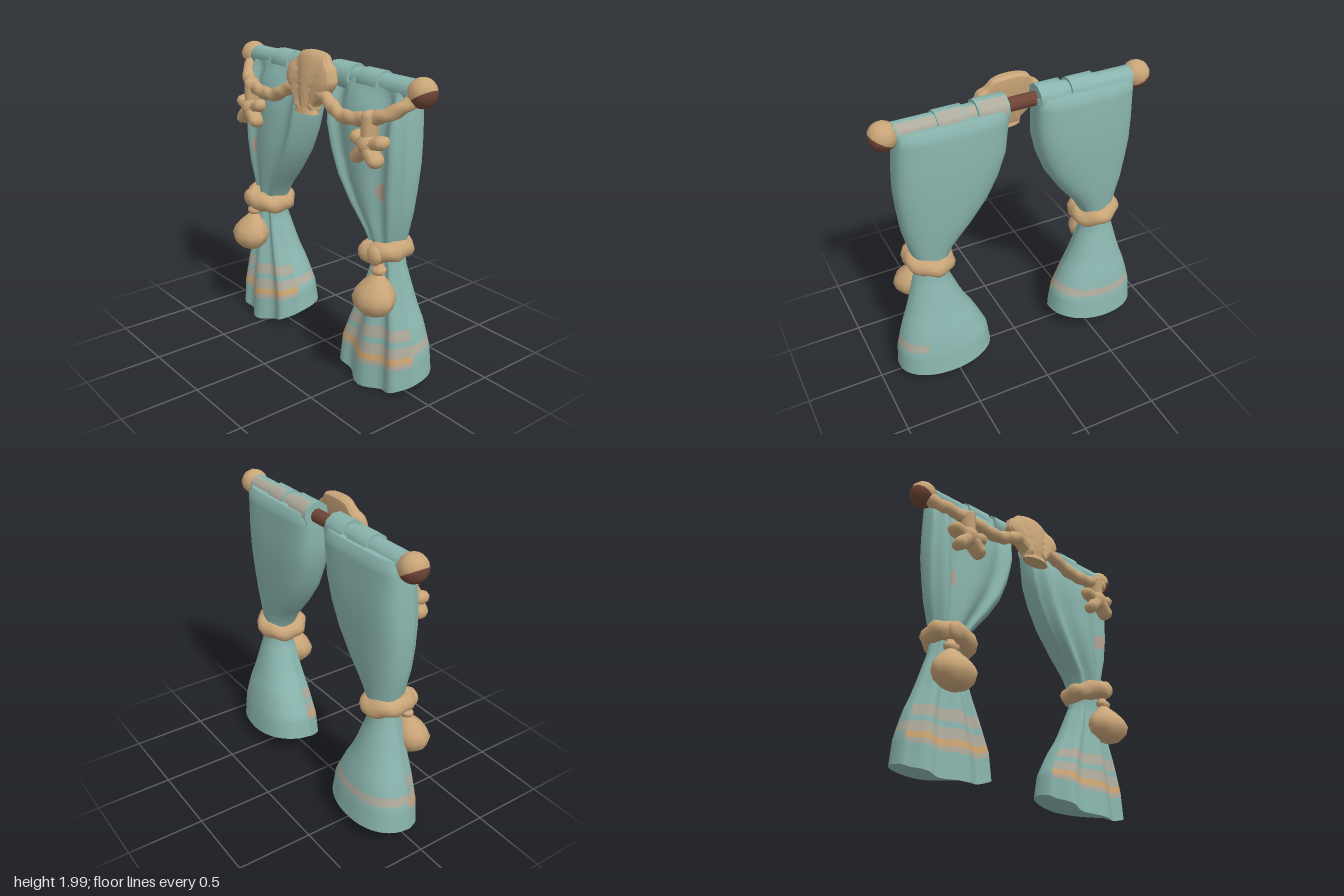
import * as THREE from 'three';
import { toCreasedNormals } from 'three/addons/utils/BufferGeometryUtils.js';

const mat = (name, color) => Object.assign(new THREE.MeshStandardMaterial({ color }), { name });
const TAU = Math.PI * 2;

// Skin closed rings of [x, y, z]; pick(row, column) chooses the material of a face
function loft(rings, { caps = true, pick = () => 0, crease = 0.9 } = {}) {
  const n = rings[0].length, pos = rings.flat(2), lists = [[], [], []];
  for (let r = 0; r < rings.length - 1; r++) for (let i = 0; i < n; i++) {
    const a = r * n + i, b = r * n + (i + 1) % n;
    lists[pick(r, i)].push(a, b, a + n, b, b + n, a + n);
  }
  if (caps) [0, rings.length - 1].forEach((r, end) => {
    const c = pos.length / 3;
    for (let k = 0; k < 3; k++) pos.push(rings[r].reduce((s, p) => s + p[k], 0) / n);
    for (let i = 0; i < n; i++) {
      const a = r * n + i, b = r * n + (i + 1) % n;
      lists[0].push(...(end ? [a, b, c] : [b, a, c]));
    }
  });
  // Turn the faces outward if the enclosed volume is negative
  const v = (i) => new THREE.Vector3().fromArray(pos, i * 3);
  let volume = 0;
  for (const l of lists) for (let i = 0; i < l.length; i += 3) volume += v(l[i]).dot(v(l[i + 1]).cross(v(l[i + 2])));
  if (volume < 0) lists.forEach((l) => l.reverse());
  const g = new THREE.BufferGeometry();
  g.setAttribute('position', new THREE.Float32BufferAttribute(pos, 3));
  g.setIndex(lists.flat());
  let start = 0;
  lists.forEach((l, m) => { if (l.length) g.addGroup(start, l.length, m); start += l.length; });
  return toCreasedNormals(g, crease);
}

// Twisted rope along a curve
function rope(curve, radius, steps, twists, closed) {
  const f = curve.computeFrenetFrames(steps, closed), rings = [];
  for (let i = 0; i <= steps; i++) {
    const c = curve.getPointAt(i / steps), ring = [];
    for (let j = 0; j < 12; j++) {
      const a = j / 12 * TAU, r = radius * (1 + 0.1 * Math.cos(2 * a - i / steps * twists * TAU));
      ring.push(c.clone().addScaledVector(f.normals[i], r * Math.cos(a)).addScaledVector(f.binormals[i], r * Math.sin(a)).toArray());
    }
    rings.push(ring);
  }
  return loft(rings, { caps: !closed });
}

// Curtain sections: y, inner x, outer x, back z, front z, squareness
const SECTIONS = [
  [1.88, 0.08, 0.75, -0.13, 0.035, 0.5], [1.84, 0.08, 0.76, -0.155, 0.055, 0.5], [1.75, 0.08, 0.77, -0.16, 0.105, 0.55],
  [1.6, 0.09, 0.78, -0.165, 0.135, 0.6], [1.45, 0.135, 0.785, -0.16, 0.14, 0.65],
  [1.3, 0.205, 0.775, -0.15, 0.14, 0.7], [1.15, 0.31, 0.76, -0.138, 0.13, 0.8],
  [1.0, 0.44, 0.725, -0.12, 0.108, 0.9], [0.9, 0.49, 0.70, -0.11, 0.085, 1],
  [0.8, 0.495, 0.715, -0.115, 0.085, 1], [0.6, 0.415, 0.77, -0.17, 0.115, 0.95],
  [0.4, 0.325, 0.83, -0.22, 0.145, 0.9], [0.2, 0.255, 0.87, -0.25, 0.168, 0.85],
  [0.01, 0.235, 0.88, -0.265, 0.18, 0.85],
];
// Point on a curtain at height y and angle a (a quarter turn is the front)
function cloth(side, y, a) {
  let k = 0;
  while (k < SECTIONS.length - 2 && SECTIONS[k + 1][0] > y) k++;
  const p = SECTIONS[k], q = SECTIONS[k + 1], t = (p[0] - y) / (p[0] - q[0]);
  const [, x0, xo, zb, zf, e] = p.map((v, i) => v + (q[i] - v) * t);
  const xi = x0 + (side < 0 ? 0.03 * Math.min(1, Math.abs(y - 1) / 0.6) : 0);
  const c = Math.cos(a), s = Math.sin(a), pw = (v) => Math.sign(v) * Math.abs(v) ** e;
  const amp = y > 1.8 ? 0.01 : 0.014 + 0.016 * Math.min(1, Math.abs(y - 0.88) / 0.5);
  const x = (xi + xo) / 2 + (xo - xi) / 2 * pw(c);
  const z = (zb + zf) / 2 + (zf - zb) / 2 * pw(s) + amp * Math.max(0, s) * (Math.cos(8 * a) - 1) * 0.9;
  const lift = 0.055 * (1 - s) + 0.03 * c * c + 0.04 * Math.max(0, -c);
  return [side * x, y + lift * Math.max(0, 1 - y / 0.55), z];
}

export function createModel() {
  const teal = mat('tealCloth', 0x8ab5ae), beige = mat('fadedBeige', 0xb0ac9e), orange = mat('orangeTrim', 0xd0a874);
  const rose = mat('rosePatch', 0xb5a294), tan = mat('sandTan', 0xc9a578), brown = mat('darkWood', 0x6f4536);
  rose.side = THREE.DoubleSide;
  const group = new THREE.Group();
  group.name = 'curtains';
  const add = (name, geo, material, x = 0, y = 0, z = 0) => {
    const m = new THREE.Mesh(geo, material);
    m.name = name;
    m.position.set(x, y, z);
    group.add(m);
  };
  const RY = 1.862, RZ = -0.03;

  add('rod', new THREE.CylinderGeometry(0.045, 0.045, 1.6, 10).rotateZ(Math.PI / 2), brown, 0, RY, RZ);

  for (const s of [1, -1]) {
    const label = s > 0 ? 'left' : 'right';

    // Curtain with hem bands; the middle band wraps further round
    const N = 64, ys = [1.88, 1.84, 1.8, 1.75, 1.67, 1.6, 1.52, 1.45, 1.37, 1.3, 1.22, 1.15, 1.07, 1, 0.95, 0.9, 0.85, 0.8,
      0.74, 0.67, 0.6, 0.53, 0.47, 0.425, 0.35, 0.31, 0.24, 0.198, 0.165, 0.08, 0.01];
    const rings = ys.map((y) => Array.from({ length: N }, (_, i) => cloth(s, y, i / N * TAU)));
    const pick = (r, i) => {
      const y = (ys[r] + ys[r + 1]) / 2, a = (i + 0.5) / N * TAU, front = Math.sin(a) > 0.15;
      if (y > 0.24 && y < 0.31) return front || s < 0 || a < 0.2 || a > 5.2 ? 1 : 0;
      if (!front) return 0;
      if (y > 0.198 && y < 0.24) return 2;
      return (y > 0.35 && y < 0.425) || (y > 0.165 && y < 0.198) ? 1 : 0;
    };
    add(label + 'Curtain', loft(rings, { pick }), [teal, beige, orange]);

    // Faded round patch lying on the cloth
    const a0 = s > 0 ? 1.09 : 1.12, da = s > 0 ? 0.22 : 0.11;
    const patch = new THREE.RingGeometry(0.001, 1, 24, 5), pp = patch.attributes.position;
    for (let i = 0; i < pp.count; i++) {
      const [x, y, z] = cloth(s, 1.275 + pp.getY(i) * 0.055, a0 - s * pp.getX(i) * da);
      pp.setXYZ(i, x, y, z + 0.008);
    }
    patch.computeVertexNormals();
    add(label + 'Patch', patch, rose);

    // Rod pocket and its raised tabs
    const tabs = s > 0 ? [[0.09, 0.76, 0.068], [0.08, 0.275, 0.087], [0.35, 0.52, 0.08]]
      : [[0.13, 0.76, 0.068], [0.12, 0.28, 0.09], [0.33, 0.5, 0.084]];
    for (const [x0, x1, r] of tabs) {
      const pocket = new THREE.CylinderGeometry(r, r, x1 - x0, 10).rotateZ(Math.PI / 2);
      add(label + 'RodPocket', toCreasedNormals(pocket, 0.7), teal, s * (x0 + x1) / 2, RY, RZ);
      if (s > 0) {
        const fade = new THREE.CylinderGeometry(r + 0.003, r + 0.003, x1 - x0 - 0.02, 2, 1, true, TAU * 0.3, TAU * 0.2);
        add('pocketFade', fade.rotateZ(Math.PI / 2), beige, (x0 + x1) / 2, RY, RZ);
      }
    }

    // Ball finial, sandy above and dark below
    for (const [m, t0, t1] of [[tan, 0, 0.58], [brown, 0.58, 0.42]]) {
      const ball = new THREE.SphereGeometry(0.087, 12, 6, 0, TAU, t0 * Math.PI, t1 * Math.PI).rotateZ(s * 0.55);
      add(label + 'Finial', ball, m, s * 0.818, RY, RZ);
    }

    // Rope swag
    const swag = [[0.79, 1.82, 0.01], [0.72, 1.755, 0.085], [0.6, 1.705, 0.135], [0.45, 1.68, 0.15], [0.33, 1.682, 0.15],
      [0.19, 1.745, 0.135], [0.08, 1.78, 0.12]].map(([x, y, z]) => new THREE.Vector3(s * x, y, z));
    add(label + 'Swag', rope(new THREE.CatmullRomCurve3(swag), 0.041, 48, 7, false), tan);

    // Plump starfish hanging from the swag
    for (const [dx, dy, len, z] of [[0, 1, 0.2, 0.145], [1, 0.3, 0.145, 0.145], [-1, 0.3, 0.145, 0.145],
      [0.72, -0.75, 0.15, 0.165], [-0.72, -0.75, 0.15, 0.165]]) {
      const arm = new THREE.CapsuleGeometry(0.042, len - 0.084, 3, 8).scale(1, 1, 1.4);
      arm.translate(0, len / 2, 0).rotateZ(Math.atan2(-dx, dy));
      add(label + 'StarfishArm', arm, tan, s * 0.59, 1.555, z);
    }
    add(label + 'StarfishHeart', new THREE.SphereGeometry(0.07, 10, 8), tan, s * 0.59, 1.555, 0.155);

    // Tieback rope ring, higher on the outside
    const loop = Array.from({ length: 12 }, (_, i) => {
      const a = i / 12 * TAU;
      return new THREE.Vector3(s * (0.6 + 0.104 * Math.cos(a)), 0.895 + 0.025 * Math.cos(a), 0.01 + 0.112 * Math.sin(a));
    });
    add(label + 'Tieback', rope(new THREE.CatmullRomCurve3(loop, true), 0.062, 48, 6, true), tan);
    add(label + 'TiebackKnot', new THREE.SphereGeometry(1, 10, 6).scale(0.06, 0.06, 0.035), tan, s * 0.65, 0.9, 0.15);

    // Shell pendant with gathered neck
    const profile = [[0.87, 0.02], [0.83, 0.03], [0.815, 0.05], [0.795, 0.05], [0.78, 0.035], [0.76, 0.055], [0.725, 0.095],
      [0.68, 0.13], [0.635, 0.143], [0.585, 0.128], [0.545, 0.085], [0.522, 0.03]];
    const pendant = profile.map(([y, r]) => Array.from({ length: 24 }, (_, i) => {
      const a = i / 24 * TAU, k = r * (1 + 0.025 * Math.cos(8 * a));
      return [s * 0.657 + k * Math.cos(a), y, 0.115 + (0.8 - Math.max(y, 0.62)) * 0.2 + k * 0.82 * Math.sin(a)];
    }));
    add(label + 'ShellPendant', loft(pendant), tan);
  }

  // Scallop shell: fan outline, domed and ribbed from the hinge
  const half = [[0, 2], [0.06, 1.998], [0.115, 1.985], [0.15, 1.94], [0.195, 1.91], [0.22, 1.835], [0.2, 1.79], [0.14, 1.73], [0.09, 1.68], [0.08, 1.645]];
  const outline = [...half, ...half.slice(1).reverse().map(([x, y]) => [-x, y])];
  const edge = new THREE.CatmullRomCurve3(outline.map(([x, y]) => new THREE.Vector3(x, y, 0)), true, 'catmullrom', 0.3).getPoints(96).slice(0, 96);
  const fan = [[0.03, 0.058], [0.2, 0.058], [0.4, 0.056], [0.6, 0.052], [0.8, 0.045], [0.93, 0.034], [1, 0.014], [1, -0.025], [0.93, -0.045], [0.7, -0.055], [0.03, -0.055]];
  add('scallopShell', loft(fan.map(([k, h]) => edge.map((p) => {
    const x = p.x * k, y = 1.82 + (p.y - 1.82) * k;
    const rib = h > 0 ? 0.018 * (Math.abs(Math.cos(Math.atan2(x, y - 1.58) * 5.5)) - 0.8) : 0;
    return [x, y, 0.11 + h + rib - (y - 1.82) * 0.17];
  })), { crease: 0.5 }), tan);
  const hinge = new THREE.CylinderGeometry(0.085, 0.105, 0.035, 12).scale(1, 1, 0.5);
  add('shellHinge', toCreasedNormals(hinge, 0.7), tan, 0, 1.648, 0.14);

  return group;
}
